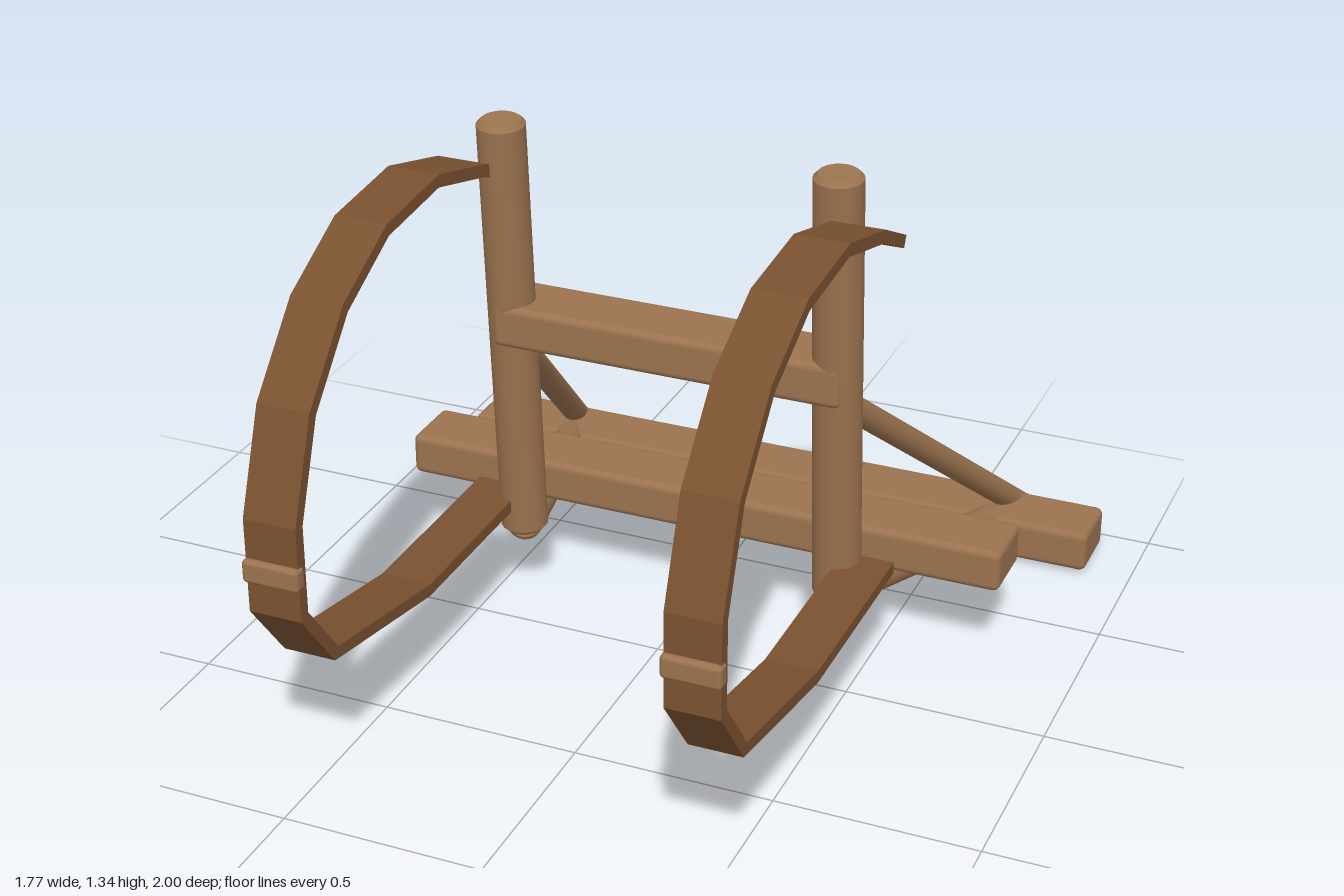
import * as THREE from 'three';
import { RoundedBoxGeometry } from 'three/addons/geometries/RoundedBoxGeometry.js';
import { toCreasedNormals } from 'three/addons/utils/BufferGeometryUtils.js';

const wood = new THREE.MeshStandardMaterial({ color: 0x9b734f });
wood.name = 'wood';
const leather = new THREE.MeshStandardMaterial({ color: 0x7a5230 });
leather.name = 'leather';

function add(group, name, geometry, material) {
  const mesh = new THREE.Mesh(geometry, material);
  mesh.name = name;
  group.add(mesh);
  return mesh;
}

// Rounded timber from its extents
function beam(group, name, [x0, x1], [y0, y1], [z0, z1], radius = 0.018) {
  const mesh = add(group, name, new RoundedBoxGeometry(x1 - x0, y1 - y0, z1 - z0, 3, radius), wood);
  mesh.position.set((x0 + x1) / 2, (y0 + y1) / 2, (z0 + z1) / 2);
}

// Round pole with softened ends between two points
function pole(group, name, from, to, radius) {
  const a = new THREE.Vector3(...from), b = new THREE.Vector3(...to);
  const h = a.distanceTo(b) / 2, c = radius * 0.18;
  const profile = [[0, -h], [radius - c, -h], [radius, -h + c], [radius, h - c], [radius - c, h], [0, h]]
    .map(([r, y]) => new THREE.Vector2(r, y));
  const mesh = add(group, name, toCreasedNormals(new THREE.LatheGeometry(profile, 20), 0.6), wood);
  mesh.position.copy(a).add(b).multiplyScalar(0.5);
  mesh.quaternion.setFromUnitVectors(new THREE.Vector3(0, 1, 0), b.sub(a).normalize());
}

// Flat band following a faceted (z, y) path
function strapGeometry(path, width, thickness) {
  const points = path.map(([z, y]) => new THREE.Vector2(z, y));
  const last = points.length - 1;
  const side = (sign) => points.map((p, i) => {
    const before = p.clone().sub(points[Math.max(i - 1, 0)]).normalize();
    const after = points[Math.min(i + 1, last)].clone().sub(p).normalize();
    const t = before.clone().add(after).normalize();
    const miter = Math.abs(t.dot(i === last ? before : after));
    return new THREE.Vector2(-t.y, t.x).multiplyScalar(sign * thickness / 2 / miter).add(p);
  });
  const shape = new THREE.Shape([...side(1), ...side(-1).reverse()]);
  const geometry = new THREE.ExtrudeGeometry(shape, { depth: width, bevelEnabled: false });
  return geometry.translate(0, 0, -width / 2).rotateY(-Math.PI / 2);
}

export function createModel() {
  const model = new THREE.Group();
  model.name = 'packFrame';

  // Cross timbers
  beam(model, 'backRail', [-0.45, 0.45], [0.755, 0.865], [-0.198, -0.022]);
  beam(model, 'middleBeam', [-0.8, 0.8], [0.222, 0.332], [-0.415, -0.24]);
  beam(model, 'rearBeam', [-0.885, 0.885], [0.015, 0.125], [-0.943, -0.768]);

  const strapPath = [
    [-0.13, 1.165], [0.02, 1.238], [0.26, 1.303], [0.51, 1.282], [0.715, 1.18], [0.88, 1.0],
    [0.967, 0.765], [0.967, 0.54], [0.84, 0.375], [0.385, 0.29], [-0.15, 0.29],
  ];
  const strap = strapGeometry(strapPath, 0.13, 0.031);

  for (const [side, s] of [['left', 1], ['right', -1]]) {
    const half = new THREE.Group();
    half.name = side + 'Side';
    model.add(half);

    // Upright, carrying arm and diagonal brace
    pole(half, side + 'Post', [s * 0.423, 0.207, -0.127], [s * 0.423, 1.343, -0.048], 0.06);
    pole(half, side + 'LowerArm', [s * 0.423, 0.213, -0.12], [s * 0.657, 0.052, -0.982], 0.047);
    pole(half, side + 'Brace', [s * 0.423, 0.745, -0.1], [s * 0.655, 0.06, -0.98], 0.033);

    // Shoulder strap with its keeper
    add(half, side + 'Strap', strap, leather).position.x = s * 0.495;
    beam(half, side + 'StrapKeeper', [s * 0.495 - 0.07, s * 0.495 + 0.07], [0.615, 0.671], [0.962, 0.999], 0.01);
  }
  return model;
}
